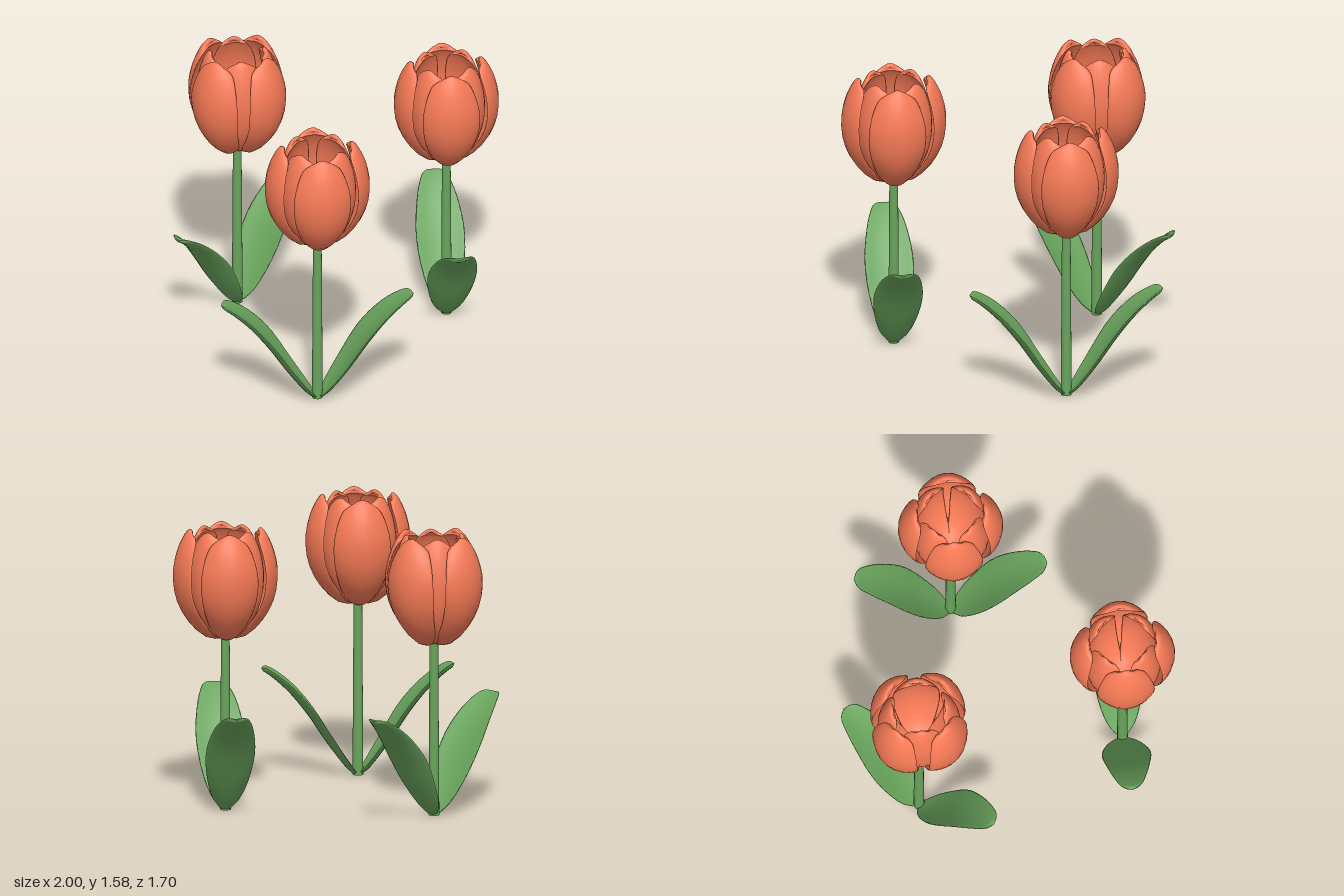
import * as THREE from 'three';

const petalMat = new THREE.MeshStandardMaterial({ color: 0xf67a56 });
const greenMat = new THREE.MeshStandardMaterial({ color: 0x69a45c });

// Curved blade with a lens section. Each point is [radius, height, half width];
// the edges bend towards the flower's axis by cup * half width.
function bladeGeometry(points, thickness, cup, rows = 26, sides = 20) {
  const curve = new THREE.CatmullRomCurve3(points.map(p => new THREE.Vector3(...p)), false, 'centripetal');
  const pos = [], index = [];
  for (let i = 0; i <= rows; i++) {
    const u = Math.max(0, i - 1) / (rows - 1);
    const t = 1 - Math.pow(1 - u, 1.6);
    const c = curve.getPoint(t), d = curve.getTangent(Math.min(t, 0.995));
    const len = Math.hypot(d.x, d.y) || 1;
    const nx = d.y / len, ny = -d.x / len;
    const w = i === 0 ? 0 : Math.max(0, c.z);        // first ring closes the base
    const th = thickness * Math.min(1, w / 0.05);
    for (let j = 0; j < sides; j++) {
      const a = j / sides * Math.PI * 2, s = Math.cos(a);
      const off = Math.sin(a) * th - cup * w * s * s;
      pos.push(c.x + nx * off, c.y + ny * off, w * s);
      if (i < rows) {
        const p = i * sides + j, q = i * sides + (j + 1) % sides;
        index.push(p, q, p + sides, q, q + sides, p + sides);
      }
    }
  }
  const g = new THREE.BufferGeometry();
  g.setAttribute('position', new THREE.Float32BufferAttribute(pos, 3));
  g.setIndex(index);
  g.computeVertexNormals();
  return g;
}

const outerPetal = bladeGeometry([
  [0.01, 0.975, 0.03], [0.1, 0.99, 0.08], [0.195, 1.08, 0.125], [0.255, 1.2, 0.152],
  [0.27, 1.34, 0.158], [0.245, 1.46, 0.135], [0.21, 1.535, 0.1], [0.192, 1.558, 0.065], [0.18, 1.562, 0],
], 0.02, 0.4);

const innerPetal = bladeGeometry([
  [0.01, 0.98, 0.03], [0.08, 1.0, 0.07], [0.15, 1.08, 0.105], [0.198, 1.2, 0.128],
  [0.21, 1.34, 0.13], [0.19, 1.46, 0.115], [0.163, 1.535, 0.085], [0.148, 1.558, 0.055], [0.138, 1.56, 0],
], 0.018, 0.4);

const leafBlade = bladeGeometry([
  [0.02, 0.012, 0.035], [0.07, 0.065, 0.078], [0.17, 0.2, 0.12], [0.27, 0.35, 0.136],
  [0.37, 0.475, 0.118], [0.46, 0.56, 0.088], [0.515, 0.6, 0.055], [0.535, 0.61, 0],
], 0.012, 0.25);

const stemShape = new THREE.CylinderGeometry(0.024, 0.03, 0.98, 16).translate(0, 0.49, 0);

function tulip(name, x, z, heading) {
  const group = new THREE.Group();
  group.name = name;
  const add = (part, geometry, material, angle) => {
    const mesh = new THREE.Mesh(geometry, material);
    mesh.name = part;
    mesh.rotation.y = angle;
    group.add(mesh);
  };
  add('stem', stemShape, greenMat, 0);
  // Two opposite leaves
  for (let k = 0; k < 2; k++) add('leaf', leafBlade, greenMat, k * Math.PI);
  // Four outer petals with four smaller ones between them
  for (let k = 0; k < 4; k++) {
    add('outerPetal', outerPetal, petalMat, k * Math.PI / 2);
    add('innerPetal', innerPetal, petalMat, (k + 0.5) * Math.PI / 2);
  }
  group.position.set(x, 0, z);
  group.rotation.y = heading;
  return group;
}

export function createModel() {
  const model = new THREE.Group();
  model.name = 'tulips';
  model.add(
    tulip('backTulip', 0.008, -0.565, 0),
    tulip('rightTulip', -0.605, 0.45, -Math.PI / 4),
    tulip('leftTulip', 0.6, 0.428, Math.PI / 4),
  );
  return model;
}
